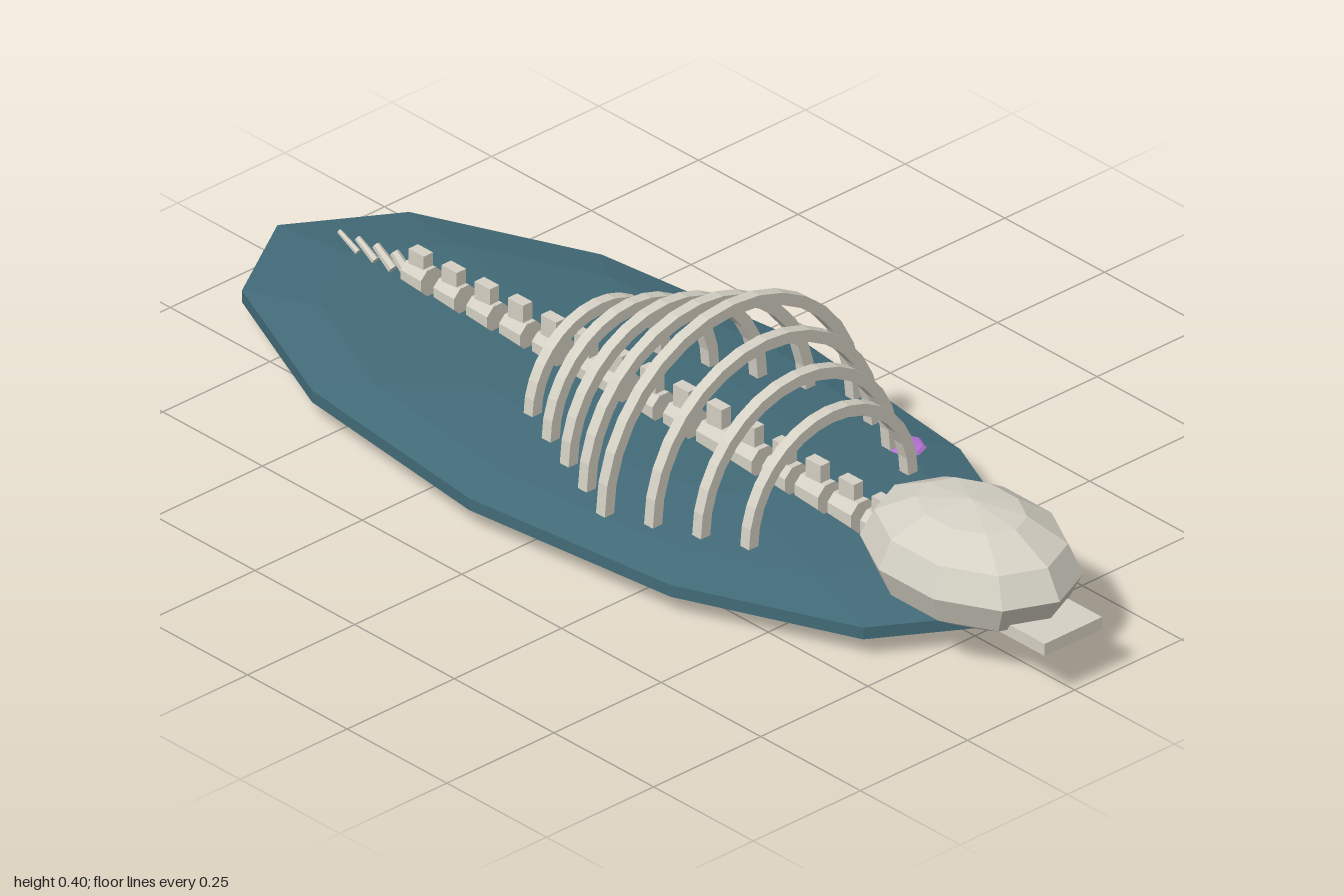
import * as THREE from 'three';

const bone = new THREE.MeshStandardMaterial({ color: 0xd4d0c4 });
bone.name = 'bone';
const teal = new THREE.MeshStandardMaterial({ color: 0x426b78 });
teal.name = 'tealGround';
const violet = new THREE.MeshStandardMaterial({ color: 0xb673d6 });
violet.name = 'violetGem';

// Gives a geometry hard facets
function facet(geometry) {
  const g = geometry.index ? geometry.toNonIndexed() : geometry;
  g.computeVertexNormals();
  return g;
}

function add(parent, name, geometry, material, x, y, z) {
  const mesh = new THREE.Mesh(facet(geometry), material);
  mesh.name = name;
  mesh.position.set(x, y, z);
  parent.add(mesh);
  return mesh;
}

// Low-poly ellipsoid; turn rotates the facets about y before scaling
function ellipsoid(rx, ry, rz, sides, rings, turn = 0) {
  return new THREE.SphereGeometry(1, sides, rings).rotateY(turn).scale(rx, ry, rz);
}

// Half-ring with a square section, feet at y = 0
function ribGeometry(outer, thick) {
  const inner = outer - thick;
  const shape = new THREE.Shape();
  const n = 16;
  for (let i = 0; i <= n; i++) {
    const a = (Math.PI * i) / n;
    const x = outer * Math.cos(a), y = outer * Math.sin(a);
    if (i === 0) shape.moveTo(x, y);
    else shape.lineTo(x, y);
  }
  for (let i = n; i >= 0; i--) {
    const a = (Math.PI * i) / n;
    shape.lineTo(inner * Math.cos(a), inner * Math.sin(a));
  }
  return new THREE.ExtrudeGeometry(shape, { depth: thick, bevelEnabled: false })
    .translate(0, 0, -thick / 2);
}

export function createModel() {
  const model = new THREE.Group();
  model.name = 'skeletonOnMound';

  // Flattened mound and the small gem lying on it
  add(model, 'mound', ellipsoid(0.4, 0.052, 0.923, 12, 7), teal, 0, 0.052, -0.1);
  add(model, 'gem', ellipsoid(0.042, 0.01, 0.04, 8, 6), violet, 0.25, 0.081, 0.3);

  const skeleton = new THREE.Group();
  skeleton.name = 'skeleton';
  skeleton.position.x = -0.003;
  model.add(skeleton);

  // Skull and flat snout
  add(skeleton, 'skull', ellipsoid(0.16, 0.109, 0.222, 10, 6, Math.PI / 10), bone, 0, 0.161, 0.744);
  add(skeleton, 'snout', new THREE.BoxGeometry(0.134, 0.024, 0.16), bone, 0, 0.107, 0.92);

  // Vertebrae with upright spines, shrinking toward the tail
  const count = 15;
  for (let i = 0; i < count; i++) {
    const t = i / (count - 1);
    const z = 0.525 - 0.083 * i;
    const s = 1 - 0.15 * t;
    const body = new THREE.CylinderGeometry(0.032 * s, 0.028 * s, 0.064 * s, 8)
      .rotateY(Math.PI / 8).rotateX(Math.PI / 2);
    add(skeleton, 'vertebra', body, bone, 0, 0.12, z);
    const top = 0.178 + 0.012 * Math.sin(Math.PI * t) - 0.008 * t;
    add(skeleton, 'vertebraSpine', new THREE.BoxGeometry(0.022, top - 0.12, 0.038),
      bone, 0, (top + 0.12) / 2, z);
  }

  // Ribs, tallest at the fourth
  for (let i = 0; i < 8; i++) {
    const outer = 0.302 - 0.035 * Math.abs(i - 3);
    add(skeleton, 'rib', ribGeometry(outer, 0.022), bone, 0, 0.098, 0.387 - 0.083 * i);
  }

  // Slanted tail bones, each thinner than the last
  for (let i = 0; i < 4; i++) {
    const r = 0.011 - 0.0018 * i;
    const tail = new THREE.CylinderGeometry(r * 0.8, r, 0.052, 6);
    const mesh = add(skeleton, 'tailBone', tail, bone, 0, 0.122 - 0.004 * i, -0.683 - 0.045 * i);
    mesh.rotation.x = -0.9 - 0.08 * i;
  }

  return model;
}
